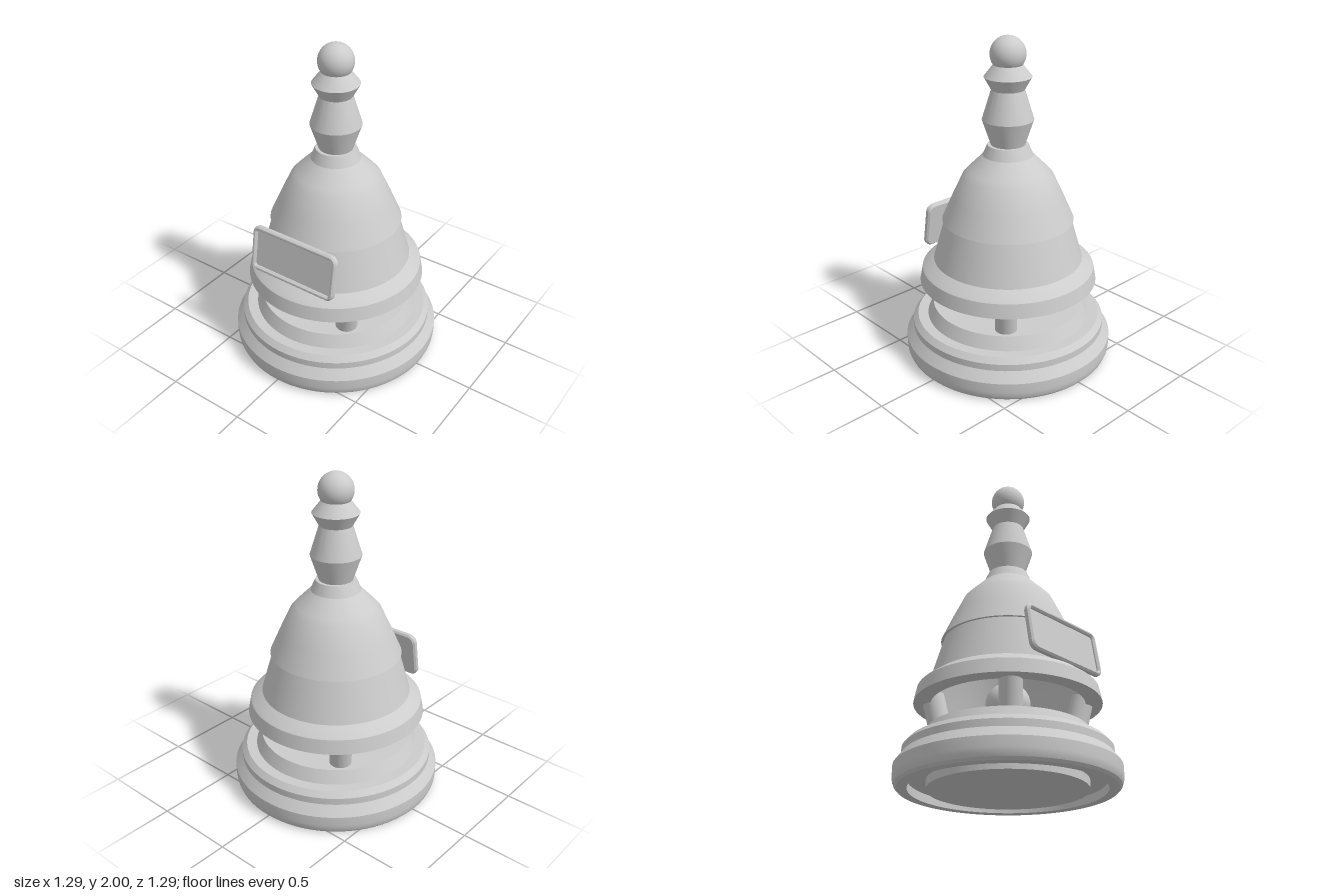
import * as THREE from 'three';
import { toCreasedNormals } from 'three/addons/utils/BufferGeometryUtils.js';

export function createModel() {
  const model = new THREE.Group();
  model.name = 'bellTrophy';
  const grey = new THREE.MeshStandardMaterial({ color: 0xcccccc });
  grey.name = 'grey';

  const add = (name, geometry, parent = model) => {
    const mesh = new THREE.Mesh(geometry, grey);
    mesh.name = name;
    parent.add(mesh);
    return mesh;
  };
  // Turned part from [radius, height] points, with sharp edges kept
  const turned = (name, profile) => add(name, toCreasedNormals(
    new THREE.LatheGeometry(profile.map(([r, y]) => new THREE.Vector2(r, y)), 80), 0.35));

  // Stepped base with a recessed ring underneath
  turned('base', [
    [0, 0], [0.457, 0], [0.457, 0.05], [0.56, 0.05], [0.56, 0], [0.62, 0],
    [0.634, 0.015], [0.642, 0.035], [0.645, 0.06], [0.645, 0.12],
    [0.6, 0.18], [0.6, 0.222], [0.57, 0.255], [0.507, 0.255], [0.47, 0.333], [0, 0.333],
  ]);

  // Hollow bell: inner wall downwards, rim, then outer wall upwards
  turned('bell', [
    [0, 1.3], [0.1, 1.27], [0.24, 1.13], [0.35, 0.88], [0.42, 0.63], [0.45, 0.493],
    [0.547, 0.493], [0.53, 0.58], [0.518, 0.592], [0.458, 0.635],
    [0.384, 0.89], [0.4, 0.89], [0.338, 1.03], [0.272, 1.17], [0.24, 1.205],
    [0.15, 1.295], [0.122, 1.36], [0, 1.36],
  ]);

  // Finial on top of the bell
  turned('finial', [
    [0, 1.35], [0.102, 1.36], [0.153, 1.512], [0.098, 1.69],
    [0.14, 1.765], [0.085, 1.835], [0, 1.835],
  ]);
  add('finialBall', new THREE.SphereGeometry(0.105, 40, 28)).position.y = 1.895;

  // Ball on a short pedestal inside the bell
  turned('pedestal', [[0.08, 0.32], [0.08, 0.375], [0.075, 0.4]]);
  add('innerBall', new THREE.SphereGeometry(0.132, 40, 28)).position.y = 0.502;

  // Four posts leaning outwards towards the top
  for (const sx of [-1, 1]) {
    for (const sz of [-1, 1]) {
      const foot = new THREE.Vector3(0.267 * sx, 0.31, 0.267 * sz);
      const head = new THREE.Vector3(0.309 * sx, 0.55, 0.309 * sz);
      const axis = head.clone().sub(foot);
      const post = add('post', new THREE.CylinderGeometry(0.066, 0.066, axis.length(), 32));
      post.position.copy(foot).add(head).multiplyScalar(0.5);
      post.quaternion.setFromUnitVectors(new THREE.Vector3(0, 1, 0), axis.normalize());
    }
  }

  // Tilted framed plaque on the front
  const roundedRect = (Type, w, h, r) => {
    const s = new Type();
    s.moveTo(-w + r, -h);
    s.lineTo(w - r, -h);
    s.absarc(w - r, -h + r, r, -Math.PI / 2, 0);
    s.absarc(w - r, h - r, r, 0, Math.PI / 2);
    s.absarc(-w + r, h - r, r, Math.PI / 2, Math.PI);
    s.absarc(-w + r, -h + r, r, Math.PI, Math.PI * 1.5);
    return s;
  };
  const plaque = new THREE.Group();
  plaque.name = 'plaque';
  plaque.position.set(0, 0.78, 0.428);
  plaque.rotation.x = -0.16;
  model.add(plaque);

  const frame = roundedRect(THREE.Shape, 0.292, 0.136, 0.04);
  frame.holes.push(roundedRect(THREE.Path, 0.283, 0.127, 0.025));
  add('plaqueFrame', new THREE.ExtrudeGeometry(frame, {
    depth: 0.02, bevelThickness: 0.01, bevelSize: 0.01, bevelSegments: 1, curveSegments: 8,
  }), plaque).position.z = -0.01;
  add('plaquePanel', new THREE.ExtrudeGeometry(roundedRect(THREE.Shape, 0.286, 0.13, 0.03), {
    depth: 0.022, bevelEnabled: false, curveSegments: 8,
  }), plaque).position.z = -0.02;

  return model;
}
